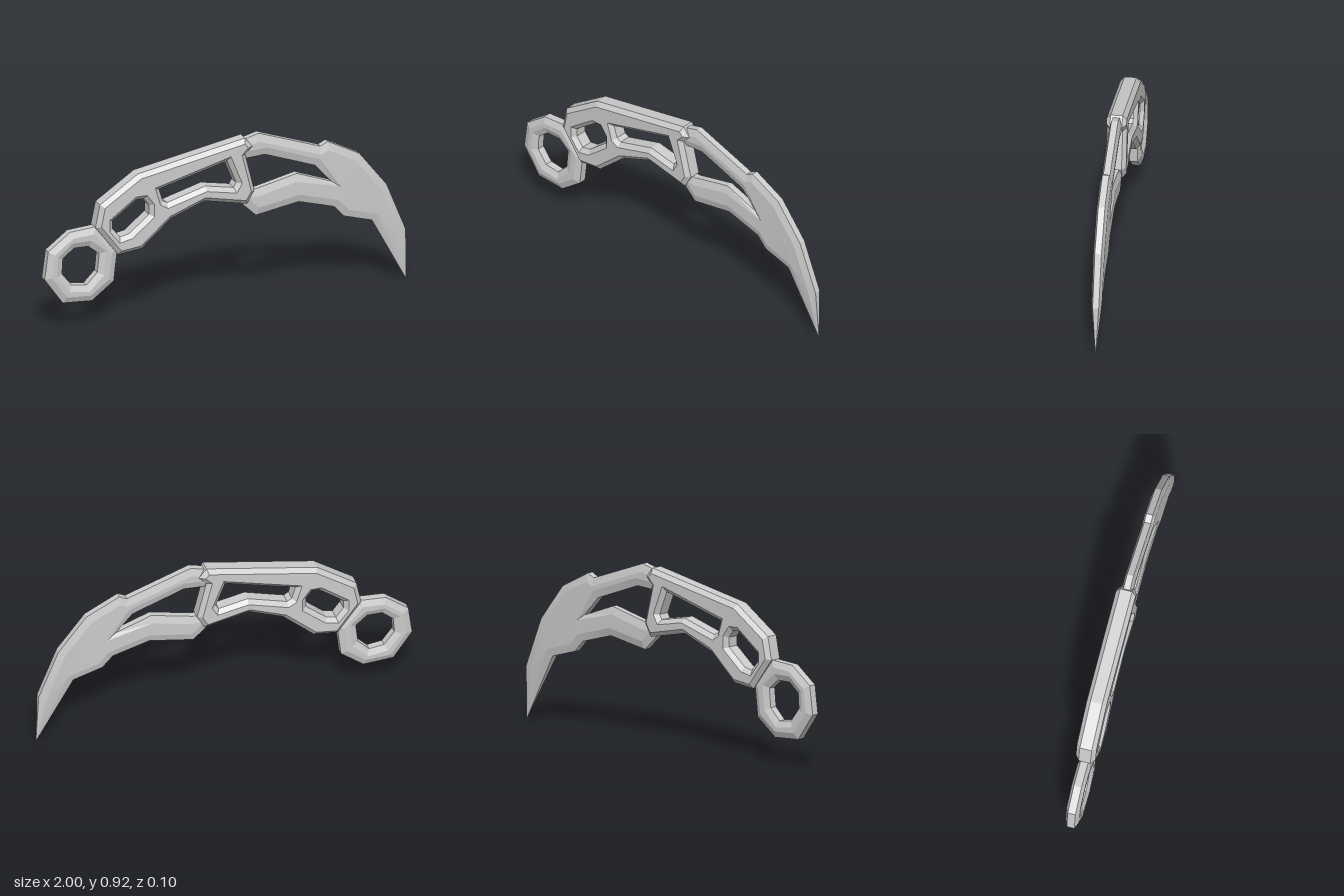
import * as THREE from 'three';
import { toCreasedNormals } from 'three/addons/utils/BufferGeometryUtils.js';

const material = new THREE.MeshStandardMaterial({ color: 0xcccccc });
const points = (list) => list.map(([x, y]) => new THREE.Vector2(x, y));

// Flat plate centred on z = 0. The outline is its full size at the middle
// band (half thickness "band") and shrinks by "inset" at the faces ("half").
// Outline and holes are listed clockwise; holes are reversed to wind the other way.
function plate(name, outline, holes, { half, band, inset, reshape = () => 1 }) {
  const shape = new THREE.Shape(points(outline));
  shape.holes = holes.map((h) => new THREE.Path(points(h).reverse()));
  const geometry = new THREE.ExtrudeGeometry(shape, {
    depth: band * 2,
    bevelEnabled: true,
    bevelSegments: 1,
    bevelThickness: half - band,
    bevelSize: inset,
    bevelOffset: -inset,
  });
  geometry.translate(0, 0, -band);
  const p = geometry.attributes.position;
  for (let i = 0; i < p.count; i++) p.setZ(i, p.getZ(i) * reshape(p.getY(i)));
  const mesh = new THREE.Mesh(toCreasedNormals(geometry, 0.2), material);
  mesh.name = name;
  return mesh;
}

export function createModel() {
  const group = new THREE.Group();
  group.name = 'curvedKnife';

  // Finger ring
  group.add(plate('fingerRing',
    [[-0.98, 0.44], [-0.86, 0.53], [-0.72, 0.54], [-0.6, 0.4],
      [-0.62, 0.23], [-0.74, 0.14], [-0.9, 0.15], [-1, 0.29]],
    [[[-0.84, 0.44], [-0.76, 0.44], [-0.7, 0.39], [-0.71, 0.29],
      [-0.77, 0.23], [-0.85, 0.24], [-0.905, 0.31], [-0.9, 0.39]]],
    { half: 0.035, band: 0.02, inset: 0.033 }));

  // Handle frame with a small and a long window
  group.add(plate('handle',
    [[-0.7, 0.66], [-0.49, 0.8], [0.1, 0.91], [0.14, 0.86], [0.1, 0.82], [0.15, 0.62],
      [0.11, 0.55], [-0.125, 0.6], [-0.31, 0.53], [-0.47, 0.39], [-0.6, 0.375], [-0.725, 0.54]],
    [
      [[-0.5, 0.66], [-0.46, 0.66], [-0.43, 0.62], [-0.43, 0.57],
        [-0.54, 0.48], [-0.59, 0.47], [-0.63, 0.52], [-0.63, 0.565]],
      [[-0.375, 0.7], [0, 0.8], [0.05, 0.675], [0.035, 0.65],
        [-0.12, 0.68], [-0.33, 0.62], [-0.355, 0.635]],
    ],
    { half: 0.052, band: 0.031, inset: 0.023 }));

  // Hooked blade: two arms meet in a head that thins out towards the tip
  group.add(plate('blade',
    [[0.05, 0.885], [0.18, 0.92], [0.52, 0.8], [0.56, 0.82], [0.735, 0.73], [0.885, 0.54],
      [0.99, 0.28], [1, 0], [0.805, 0.355], [0.65, 0.4], [0.595, 0.46], [0.4, 0.515],
      [0.165, 0.475], [0.07, 0.565], [0.07, 0.62], [0.17, 0.62], [0.39, 0.67],
      [0.58, 0.6], [0.49, 0.7], [0.215, 0.8], [0.05, 0.79]],
    [],
    { half: 0.029, band: 0.017, inset: 0.04, reshape: (y) => Math.min(1, y / 0.3) }));

  return group;
}
